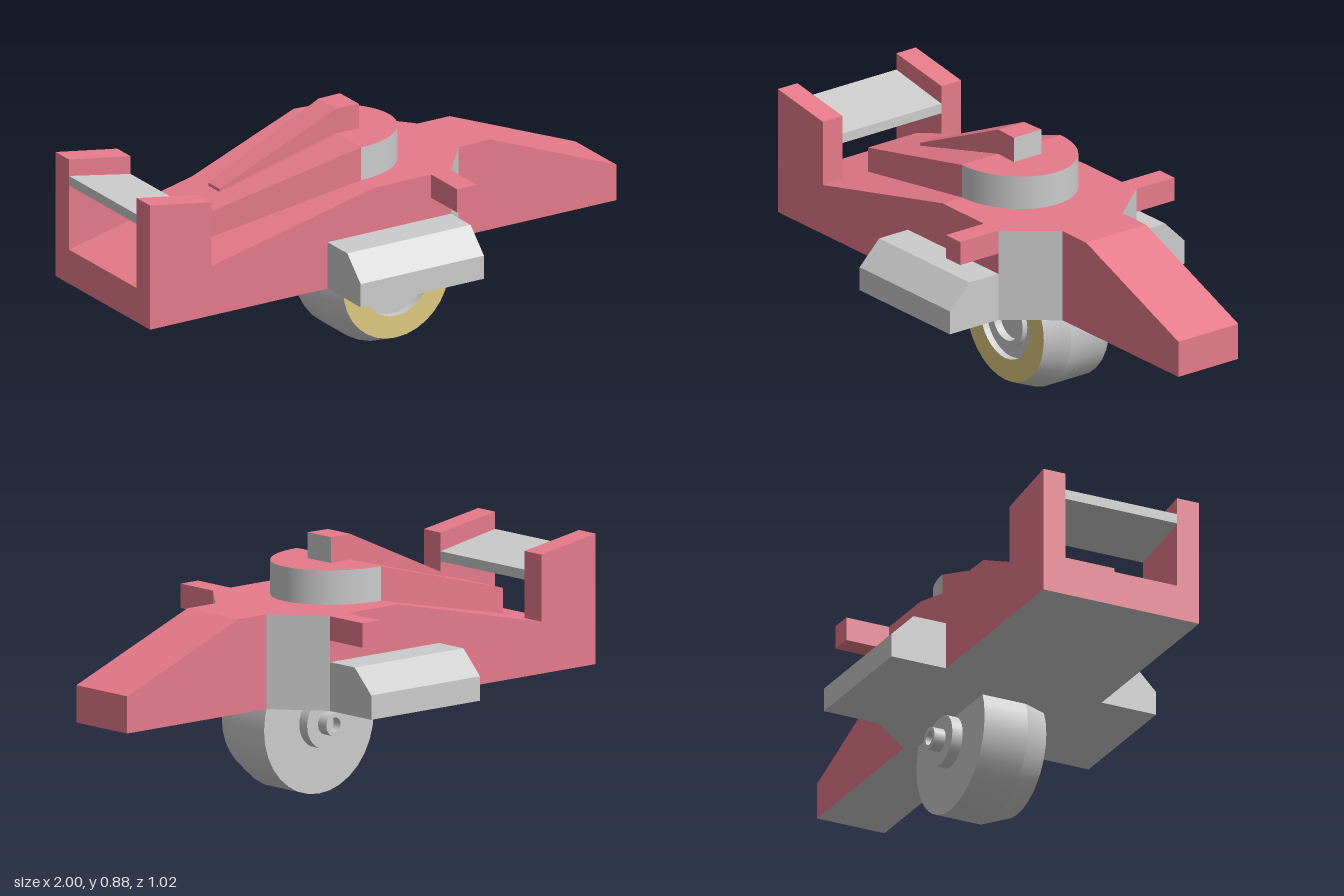
import * as THREE from 'three';

const mat = (color) => new THREE.MeshStandardMaterial({ color });

export function createModel() {
  const model = new THREE.Group();
  const red = mat(0xe67a8a), grey = mat(0xcccccc), gold = mat(0xdfc97f);

  const add = (name, geometry, material, parent = model) => {
    const mesh = new THREE.Mesh(geometry, material);
    mesh.name = name;
    parent.add(mesh);
    return mesh;
  };

  // Block between two end sections [x, half width, bottom, top].
  // Materials follow the box faces: +x, -x, top, bottom, +z, -z.
  const wedge = (name, a, b, materials, z = 0) => {
    const g = new THREE.BoxGeometry(2, 2, 2);
    const p = g.attributes.position;
    for (let i = 0; i < p.count; i++) {
      const [x, w, y0, y1] = p.getX(i) < 0 ? a : b;
      p.setXYZ(i, x, p.getY(i) < 0 ? y0 : y1, z + w * p.getZ(i));
    }
    g.computeVertexNormals();
    return add(name, g, materials);
  };

  // Hull: red with a grey underside, grey shoulders where it narrows
  const hull = [red, red, red, grey, red, red];
  const shoulders = [red, red, red, grey, grey, grey];
  wedge('tailHull', [-1, 0.3, 0.34, 0.465], [-0.09, 0.3, 0.34, 0.67], hull);
  wedge('midHull', [-0.09, 0.3, 0.34, 0.67], [0.22, 0.3, 0.34, 0.67], hull);
  wedge('shoulders', [0.22, 0.3, 0.34, 0.67], [0.36, 0.13, 0.34, 0.67], shoulders);
  wedge('noseBase', [0.36, 0.13, 0.34, 0.67], [0.49, 0.13, 0.34, 0.67], hull);
  wedge('nose', [0.49, 0.13, 0.34, 0.67], [1, 0.13, 0.34, 0.47], hull);

  // Engine cover: tapered rear and rounded front
  wedge('engineCover', [-0.75, 0.105, 0.5, 0.61], [-0.09, 0.215, 0.6, 0.79], red);
  const round = new THREE.Shape();
  round.absellipse(0, 0, 0.25, 0.215, -Math.PI / 2, Math.PI / 2);
  const cockpit = add('cockpitFront', new THREE.ExtrudeGeometry(round, {
    depth: 0.14, bevelEnabled: false, curveSegments: 24,
  }).rotateX(-Math.PI / 2), [red, grey]);
  // Smooth the curved wall
  const pos = cockpit.geometry.attributes.position, nor = cockpit.geometry.attributes.normal;
  for (let i = 0; i < pos.count; i++) {
    if (Math.abs(nor.getY(i)) > 0.5 || nor.getX(i) < -0.5) continue;
    const n = new THREE.Vector3(pos.getX(i) / 0.25 ** 2, 0, pos.getZ(i) / 0.215 ** 2).normalize();
    nor.setXYZ(i, n.x, n.y, n.z);
  }
  cockpit.position.set(-0.09, 0.65, 0);

  // Air intake fin with a grey mouth
  wedge('finSlope', [-0.55, 0.035, 0.6, 0.675], [-0.09, 0.056, 0.7, 0.88], red);
  wedge('finIntake', [-0.09, 0.056, 0.7, 0.88], [0, 0.06, 0.7, 0.88], [grey, red, red, red, red, red]);

  // Rear wing between two end plates
  wedge('rearWing', [-1, 0.215, 0.7, 0.735], [-0.75, 0.215, 0.655, 0.69], grey);

  for (const side of [1, -1]) {
    const label = side > 0 ? 'left' : 'right';
    wedge(label + 'EndPlate', [-1, 0.0425, 0.465, 0.795], [-0.75, 0.0425, 0.521, 0.755], red, side * 0.2575);
    wedge(label + 'Mirror', [0.14, 0.0825, 0.585, 0.67], [0.22, 0.0825, 0.585, 0.67], red, side * 0.3825);

    // Side pod with a bevelled outer edge
    const pod = new THREE.Shape([
      [0.29, 0.34], [0.51, 0.34], [0.51, 0.425], [0.425, 0.51], [0.29, 0.51],
    ].map(([z, y]) => new THREE.Vector2(z, y)));
    const podGeometry = new THREE.ExtrudeGeometry(pod, { depth: 0.5, bevelEnabled: false });
    podGeometry.rotateY(-side * Math.PI / 2);
    add(label + 'SidePod', podGeometry, grey).position.x = side > 0 ? 0.22 : -0.28;
  }

  // Single wheel below: [radius, z] profile from the rear axle round to the front hub
  const wheel = new THREE.Group();
  wheel.name = 'wheel';
  wheel.position.set(0.085, 0.255, 0);
  model.add(wheel);
  const profile = [
    [0, -0.14], [0.025, -0.14], [0.025, -0.175], [0.04, -0.175], [0.04, -0.132],
    [0.09, -0.132], [0.09, -0.092], [0.252, -0.092], [0.252, 0.075], [0.215, 0.165],
    [0.135, 0.165], [0.135, 0.14], [0.092, 0.14], [0.092, 0.16], [0.07, 0.16],
    [0.07, 0.13], [0, 0.13],
  ].map(([r, z]) => new THREE.Vector2(r, z));
  const names = ['axleHole', 'axleBore', 'axleEnd', 'axle', 'rearHubFace', 'rearHub', 'tyreBack',
    'tyreTread', 'tyreShoulder', 'rim', 'rimWall', 'wheelDisc', 'hubWall', 'hubRing', 'hubBore', 'hubCentre'];
  names.forEach((name, i) => {
    const strip = new THREE.LatheGeometry([profile[i], profile[i + 1]], 32);
    add(name, strip.rotateX(Math.PI / 2), name === 'rim' ? gold : grey, wheel);
  });

  return model;
}
